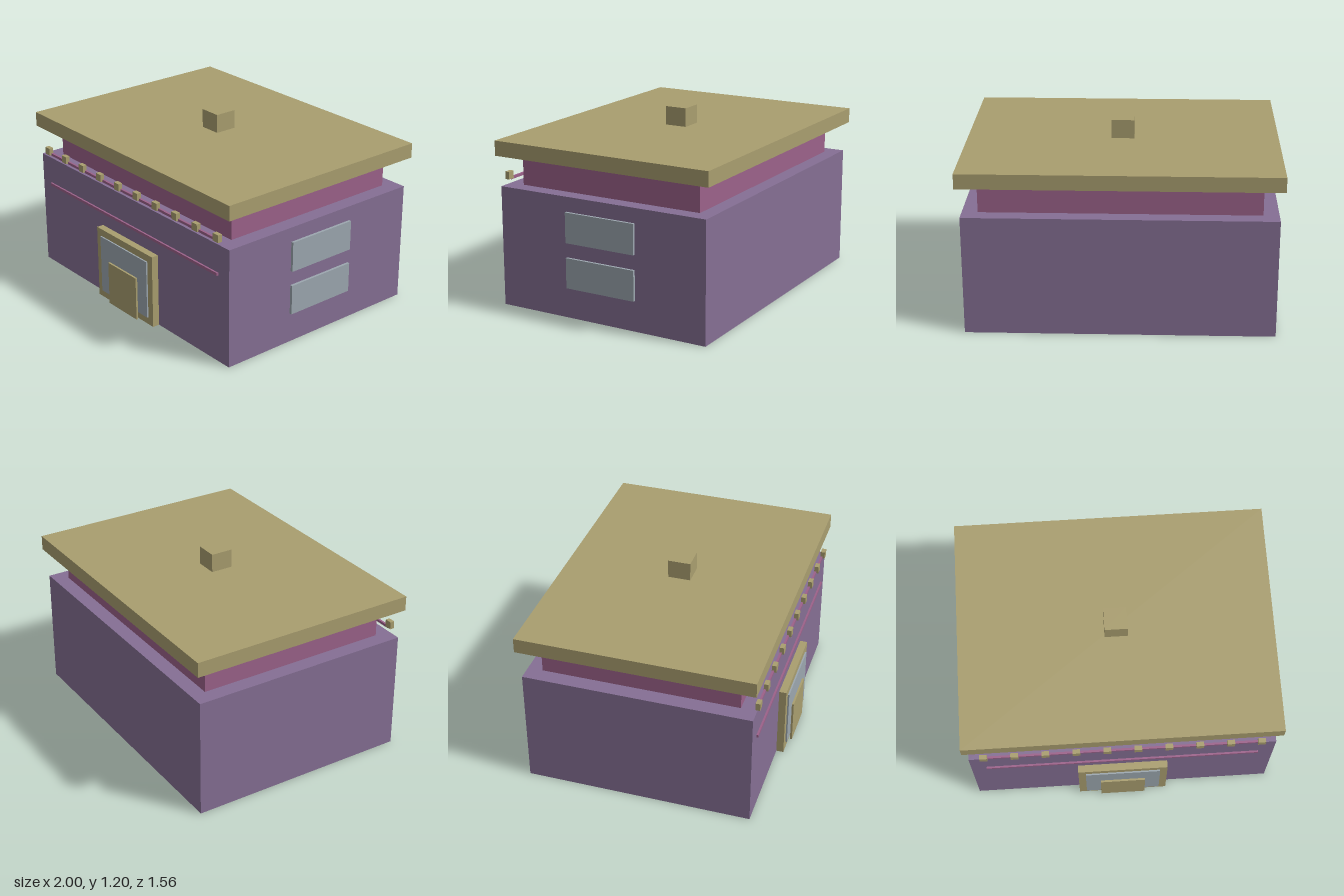
import * as THREE from 'three';

const material = (color) => new THREE.MeshStandardMaterial({ color });

export function createModel() {
  const model = new THREE.Group();
  const tan = material(0xa99e6f);
  const purple = material(0x856f94);
  const pink = material(0x9c628a);
  const glass = material(0x9ca7af);

  // Box given by its extents along each axis
  const block = (name, mat, [x0, x1], [y0, y1], [z0, z1], parent = model) => {
    const mesh = new THREE.Mesh(new THREE.BoxGeometry(x1 - x0, y1 - y0, z1 - z0), mat);
    mesh.position.set((x0 + x1) / 2, (y0 + y1) / 2, (z0 + z1) / 2);
    mesh.name = name;
    parent.add(mesh);
    return mesh;
  };
  const sym = (half) => [-half, half];

  // Stacked storeys, roof slab and chimney
  block('walls', purple, sym(0.976), [0, 0.78], [-0.753, 0.71]);
  block('upperStorey', pink, sym(0.877), [0.78, 0.978], [-0.657, 0.61]);
  block('roof', tan, sym(1), [0.978, 1.075], [-0.78, 0.732]);
  block('chimney', tan, sym(0.073), [1.075, 1.197], [-0.099, 0.048]);

  // Layered entrance
  const entrance = new THREE.Group();
  entrance.name = 'entrance';
  model.add(entrance);
  block('doorFrame', tan, sym(0.292), [0, 0.49], [0.71, 0.757], entrance);
  block('doorGlass', glass, sym(0.244), [0.05, 0.442], [0.757, 0.767], entrance);
  block('door', tan, sym(0.147), [0, 0.293], [0.767, 0.78], entrance);

  // Trim strip on the front wall and rail above it
  block('frontTrim', pink, sym(0.877), [0.58, 0.598], [0.708, 0.722]);
  block('rail', pink, sym(0.877), [0.802, 0.819], [0.705, 0.719]);

  // Row of small blocks along the rail
  const railBlocks = new THREE.Group();
  railBlocks.name = 'railBlocks';
  model.add(railBlocks);
  for (let i = 0; i < 10; i++) {
    const x = -0.878 + i * 0.1951;
    block('railBlock', tan, [x - 0.024, x + 0.024], [0.806, 0.855], [0.704, 0.733], railBlocks);
  }

  // Two windows on the left wall only
  for (const y of [0.197, 0.489]) {
    block('sideWindow', glass, [0.976, 0.993], [y, y + 0.196], [-0.267, 0.221]);
  }

  return model;
}
